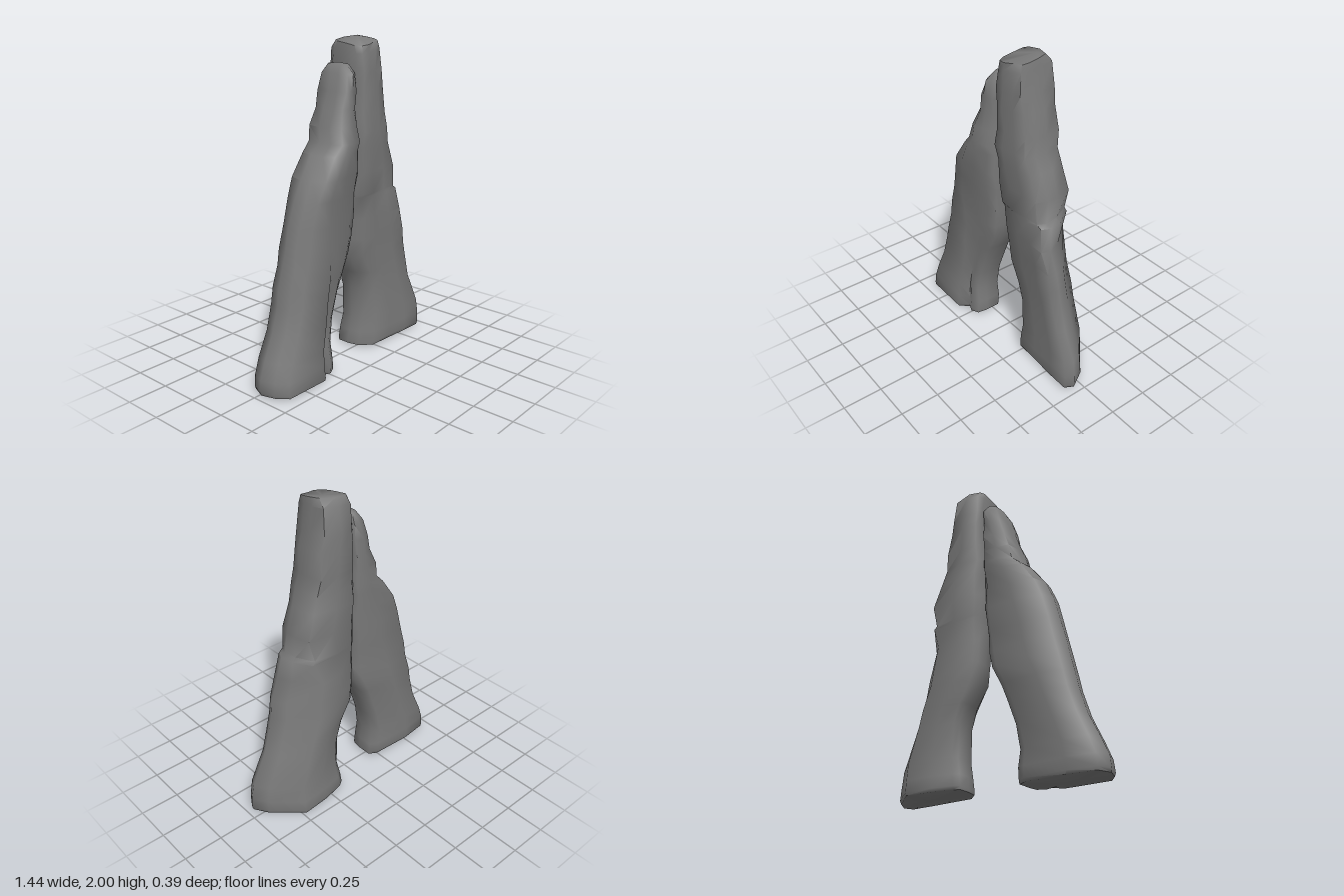
import * as THREE from 'three';
import { toCreasedNormals } from 'three/addons/utils/BufferGeometryUtils.js';

const material = new THREE.MeshStandardMaterial({ color: 0x7a7a7a, side: THREE.DoubleSide });

// Lofts a rough stone slab. Rows: [y, inner x, outer x, back z, front z].
// Loops are cross-sections in 0..1 (inner to outer, back to front), blended by height.
function makeSlab({ name, side, rows, lowLoop, highLoop, blend, tilt, peak }) {
  const n = lowLoop.length;
  const last = rows.length - 1;
  const pos = [];
  const index = [];
  const tri = (a, b, c) => (side > 0 ? index.push(a, b, c) : index.push(a, c, b));

  rows.forEach(([y, xi, xo, zb, zf], i) => {
    const t = THREE.MathUtils.smoothstep(y, blend[0], blend[1]);
    for (let j = 0; j < n; j++) {
      const u = THREE.MathUtils.lerp(lowLoop[j][0], highLoop[j][0], t);
      const v = THREE.MathUtils.lerp(lowLoop[j][1], highLoop[j][1], t);
      // Shallow weathering, stronger on the upper half
      const dent = (0.004 + 0.01 * t) * (1 + Math.sin(i * 2.3 + j * 1.9)) * 0.5;
      const z = THREE.MathUtils.lerp(zb, zf, v) + (v > 0.5 ? -dent : dent);
      const lift = i >= last - 1 ? tilt[0] * (u - 0.5) + tilt[1] * (v - 0.5) : 0;
      pos.push(side * THREE.MathUtils.lerp(xi, xo, u), y + lift, z);
    }
  });
  for (let i = 0; i < last; i++) {
    for (let j = 0; j < n; j++) {
      const a = i * n + j;
      const b = i * n + (j + 1) % n;
      tri(a, b, b + n);
      tri(a, b + n, a + n);
    }
  }
  // Underside and crown
  const [y0, xi, xo, zb, zf] = rows[0];
  const bottom = pos.length / 3;
  pos.push(side * (xi + xo) / 2, y0 - 0.01, (zb + zf) / 2, ...peak);
  for (let j = 0; j < n; j++) {
    const k = (j + 1) % n;
    tri(bottom, k, j);
    tri(bottom + 1, last * n + j, last * n + k);
  }

  const geometry = new THREE.BufferGeometry();
  geometry.setAttribute('position', new THREE.Float32BufferAttribute(pos, 3));
  geometry.setIndex(index);
  const mesh = new THREE.Mesh(toCreasedNormals(geometry, 1.2), material);
  mesh.name = name;
  return mesh;
}

export function createModel() {
  const group = new THREE.Group();
  group.name = 'leaningStones';

  // Taller stone with a ledge on its outer side and a bevelled inner front edge
  group.add(makeSlab({
    name: 'leftStone', side: 1, blend: [0.85, 1.2], tilt: [0.025, -0.03],
    peak: [0.19, 2.0, -0.04],
    rows: [
      [0.01, 0.142, 0.712, -0.19, 0.108],
      [0.03, 0.14, 0.72, -0.198, 0.113],
      [0.10, 0.15, 0.717, -0.19, 0.112],
      [0.20, 0.17, 0.70, -0.18, 0.108],
      [0.40, 0.165, 0.605, -0.176, 0.102],
      [0.52, 0.13, 0.57, -0.176, 0.102],
      [0.65, 0.05, 0.54, -0.175, 0.105],
      [0.76, 0.04, 0.522, -0.172, 0.11],
      [0.90, 0.035, 0.468, -0.168, 0.12],
      [1.04, 0.03, 0.445, -0.162, 0.125],
      [1.06, 0.03, 0.412, -0.162, 0.13],
      [1.20, 0.025, 0.403, -0.157, 0.14],
      [1.35, 0.023, 0.348, -0.157, 0.15],
      [1.45, 0.02, 0.312, -0.145, 0.158],
      [1.55, 0.025, 0.297, -0.155, 0.148],
      [1.70, 0.03, 0.28, -0.148, 0.152],
      [1.80, 0.03, 0.257, -0.148, 0.146],
      [1.93, 0.032, 0.247, -0.13, 0.14],
      [1.975, 0.038, 0.24, -0.095, 0.128],
    ],
    lowLoop: [[0, .2], [0, .46], [.03, .72], [.15, .94], [.4, .97], [.7, 1],
      [.95, 1], [1, .83], [.9, .5], [.6, 0], [.3, .04], [.06, .13]],
    highLoop: [[0, .16], [0, .5], [0, .84], [.11, .98], [.35, 1], [.65, .96],
      [.93, .91], [1, .7], [1, .4], [.94, .09], [.5, 0], [.1, .04]],
  }));

  // Shorter stone, grooved low on its front and swelling at the outer shoulder
  group.add(makeSlab({
    name: 'rightStone', side: -1, blend: [0.25, 1.2], tilt: [0, 0],
    peak: [-0.025, 1.86, 0.01],
    rows: [
      [0.01, 0.192, 0.716, -0.083, 0.19],
      [0.03, 0.19, 0.722, -0.09, 0.195],
      [0.10, 0.19, 0.715, -0.09, 0.187],
      [0.20, 0.205, 0.675, -0.09, 0.178],
      [0.35, 0.18, 0.605, -0.09, 0.17],
      [0.50, 0.13, 0.56, -0.095, 0.165],
      [0.60, 0.09, 0.542, -0.10, 0.165],
      [0.72, 0.03, 0.512, -0.10, 0.165],
      [0.82, 0.01, 0.49, -0.10, 0.165],
      [0.95, 0.0, 0.458, -0.10, 0.17],
      [1.10, -0.008, 0.415, -0.11, 0.18],
      [1.22, -0.012, 0.362, -0.11, 0.195],
      [1.35, -0.014, 0.265, -0.12, 0.198],
      [1.41, -0.015, 0.20, -0.122, 0.196],
      [1.50, -0.016, 0.184, -0.122, 0.175],
      [1.60, -0.017, 0.14, -0.118, 0.155],
      [1.70, -0.018, 0.11, -0.118, 0.152],
      [1.80, -0.025, 0.077, -0.11, 0.138],
      [1.85, -0.008, 0.048, -0.075, 0.09],
    ],
    lowLoop: [[0, .15], [0, .5], [.02, .74], [.11, .83], [.19, .78], [.29, .98],
      [.85, .96], [.95, .72], [1, .38], [.93, .08], [.6, 0], [.1, .04]],
    highLoop: [[0, .08], [0, .5], [0, .8], [.12, .9], [.4, .96], [.66, 1],
      [.87, .93], [.97, .7], [1, .4], [.92, .1], [.5, 0], [.08, 0]],
  }));

  return group;
}
